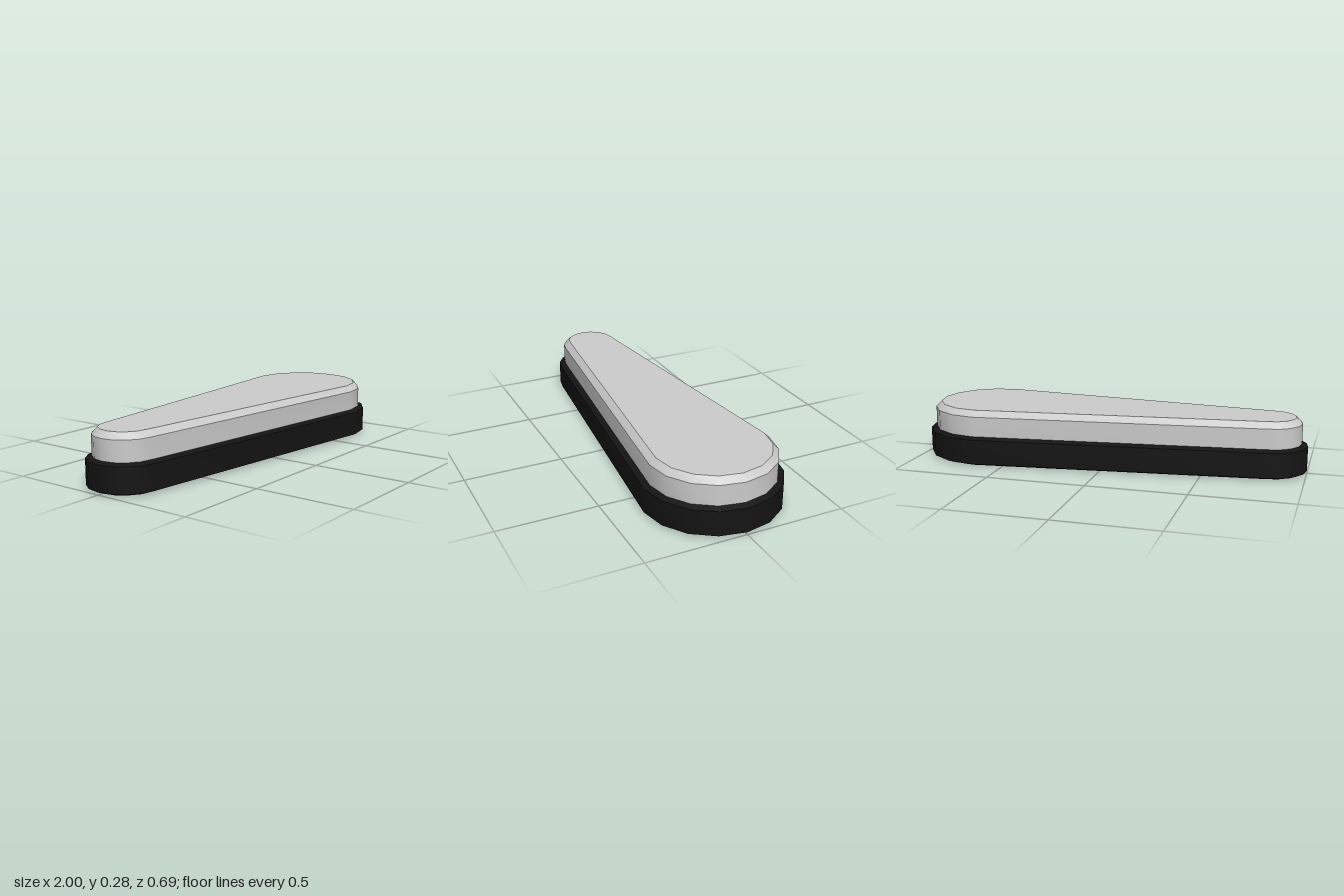
import * as THREE from 'three';
import { toCreasedNormals } from 'three/addons/utils/BufferGeometryUtils.js';

const STEPS = 8; // segments in each rounded end

// Teardrop outline: wide round end at +x, narrow round end at -x
function outline(inset, y) {
  const points = [];
  for (const [cx, radius, start] of [[0.657, 0.343, -Math.PI / 2], [-0.815, 0.185, Math.PI / 2]]) {
    for (let i = 0; i <= STEPS; i++) {
      const a = start + (i / STEPS) * Math.PI;
      const r = radius - inset;
      points.push([cx + r * Math.cos(a), y, r * Math.sin(a)]);
    }
  }
  return points;
}

// Skin a profile of [inset, y] pairs around the outline, optionally closing the top
function sweep(profile, capped) {
  const rings = profile.map(([inset, y]) => outline(inset, y));
  const n = rings[0].length;
  const positions = [];
  const tri = (...corners) => corners.forEach((p) => positions.push(...p));
  for (let j = 0; j < rings.length - 1; j++) {
    for (let i = 0; i < n; i++) {
      const k = (i + 1) % n;
      const a = rings[j][i], b = rings[j][k], c = rings[j + 1][k], d = rings[j + 1][i];
      tri(a, d, c);
      tri(a, c, b);
    }
  }
  if (capped) {
    const top = rings[rings.length - 1];
    const centre = [0, top[0][1], 0];
    for (let i = 0; i < n; i++) tri(centre, top[(i + 1) % n], top[i]);
  }
  const geometry = new THREE.BufferGeometry();
  geometry.setAttribute('position', new THREE.Float32BufferAttribute(positions, 3));
  return toCreasedNormals(geometry, THREE.MathUtils.degToRad(30));
}

export function createModel() {
  const group = new THREE.Group();
  const add = (name, geometry, color) => {
    const material = new THREE.MeshStandardMaterial({ color, side: THREE.DoubleSide });
    const mesh = new THREE.Mesh(geometry, material);
    mesh.name = name;
    group.add(mesh);
  };

  // Dark band around the base, bevelled above and below, open in the middle
  add('baseBand', sweep([[0.03, 0], [0, 0.012], [0, 0.137], [0.03, 0.148], [0.03, 0]], false), 0x141414);

  // Hollow cover with a chamfered rim and flat top, open underneath
  add('cover', sweep([[0.03, 0.148], [0.03, 0.25], [0.06, 0.28]], true), 0xcccccc);

  return group;
}
